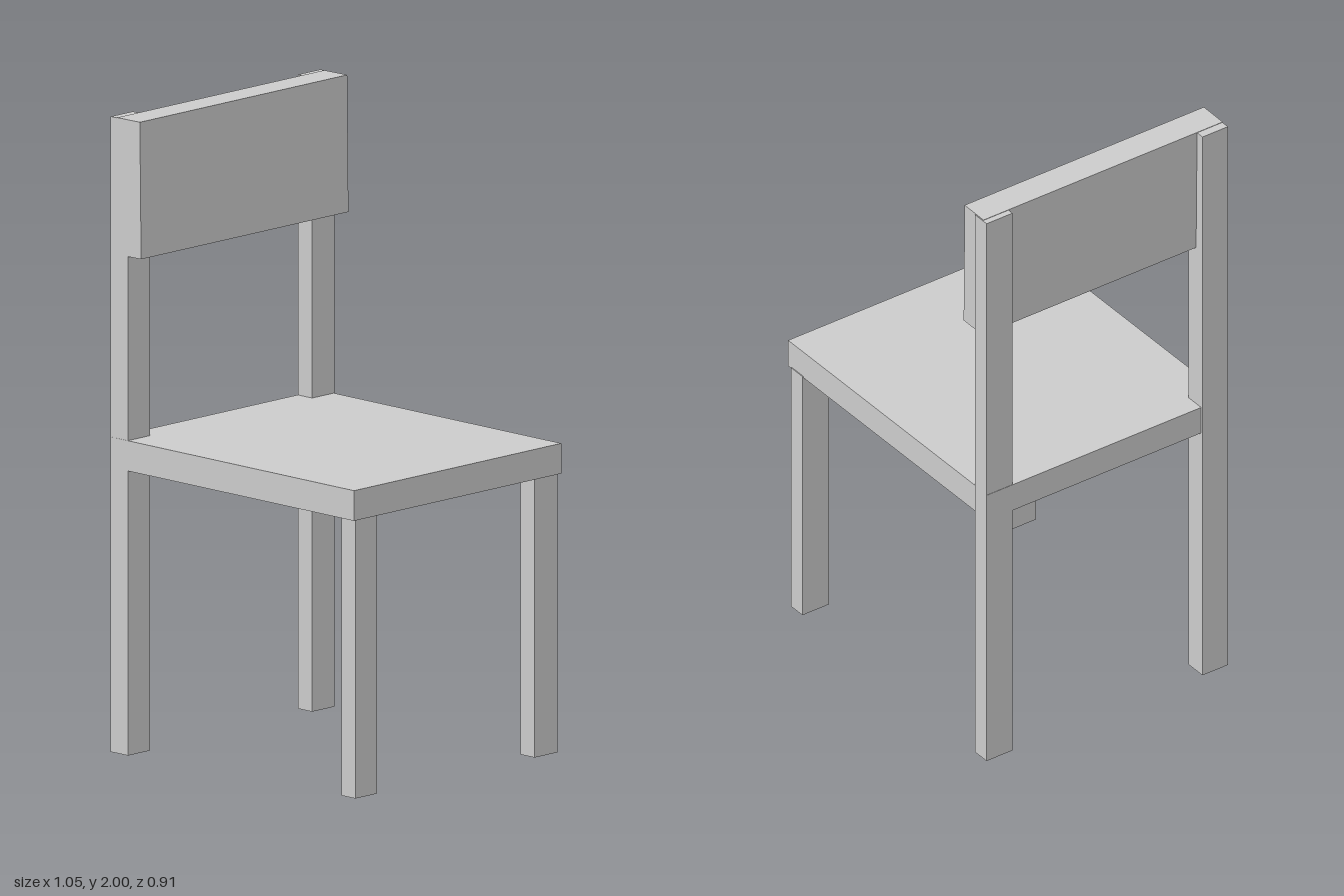
import * as THREE from 'three';

const material = new THREE.MeshStandardMaterial({ color: 0xcccccc, flatShading: true });

// Box given by its [min, max] extent along each axis
function addBox(group, name, [x0, x1], [y0, y1], [z0, z1]) {
  const mesh = new THREE.Mesh(new THREE.BoxGeometry(x1 - x0, y1 - y0, z1 - z0), material);
  mesh.name = name;
  mesh.position.set((x0 + x1) / 2, (y0 + y1) / 2, (z0 + z1) / 2);
  group.add(mesh);
  return mesh;
}

export function createModel() {
  const chair = new THREE.Group();
  chair.name = 'chair';

  // Seat slab; the chair faces +x
  addBox(chair, 'seat', [-0.517, 0.522], [0.895, 0.99], [-0.453, 0.453]);

  // Rear legs run up through the seat to carry the backrest
  addBox(chair, 'rearPostNear', [-0.524, -0.45], [0, 1.997], [0.356, 0.452]);
  addBox(chair, 'rearPostFar', [-0.516, -0.455], [0.004, 1.997], [-0.456, -0.358]);

  // Front legs, slightly shorter than the rear ones
  addBox(chair, 'frontLegNear', [0.443, 0.503], [0.015, 0.9], [0.332, 0.428]);
  addBox(chair, 'frontLegFar', [0.443, 0.503], [0.015, 0.9], [-0.456, -0.356]);

  // Backrest board, leaning back a touch
  const backrest = addBox(chair, 'backrest', [-0.493, -0.395], [1.569, 1.999], [-0.453, 0.453]);
  backrest.rotation.z = 0.012;

  return chair;
}
